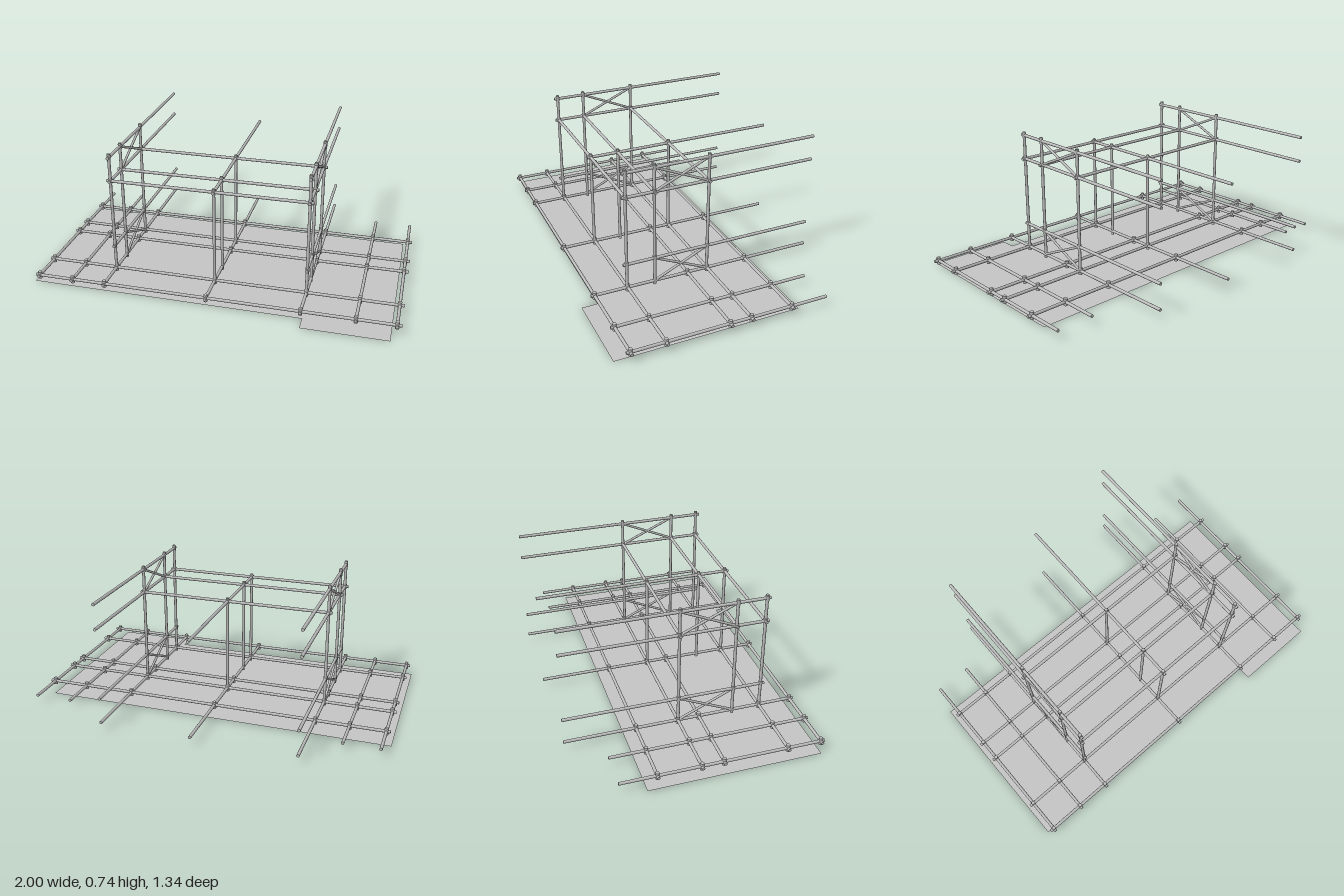
import * as THREE from 'three';

export function createModel() {
  const model = new THREE.Group();
  const steel = new THREE.MeshStandardMaterial({ color: 0xbcbcbc });
  const deckGrey = new THREE.MeshStandardMaterial({ color: 0xc4c4c4, side: THREE.DoubleSide });
  const R = 0.0085;
  const up = new THREE.Vector3(0, 1, 0);

  // Round tube between two points
  function pipe(name, a, b, r = R) {
    const from = new THREE.Vector3(...a);
    const dir = new THREE.Vector3(...b).sub(from);
    const length = dir.length();
    const mesh = new THREE.Mesh(new THREE.CylinderGeometry(r, r, length, 12), steel);
    mesh.name = name;
    mesh.position.copy(from).addScaledVector(dir, 0.5);
    mesh.quaternion.setFromUnitVectors(up, dir.normalize());
    model.add(mesh);
  }
  // Short sleeve where tubes cross
  const coupler = (x, y, z, h = 0.04) =>
    pipe('coupler', [x, y - h / 2, z], [x, y + h / 2, z], 0.0105);

  // Flat ground sheet with a step at the front left
  const outline = [[-1, 0.58], [0.495, 0.58], [0.495, 0.665], [0.95, 0.665], [0.95, -0.345], [-1, -0.345]];
  const sheet = new THREE.Shape(outline.map(([x, z]) => new THREE.Vector2(x, -z)));
  const ground = new THREE.Mesh(new THREE.ShapeGeometry(sheet).rotateX(-Math.PI / 2), deckGrey);
  ground.name = 'groundSheet';
  model.add(ground);

  // Base grid
  const baseY = 0.05;
  const rows = [0.59, 0.407, 0.063, -0.054, -0.284];
  const columns = [
    [-0.963, -0.48], [-0.77, -0.48], [-0.585, -0.67], [-0.016, -0.67],
    [0.487, -0.67], [0.77, -0.49], [0.975, -0.49],
  ];
  for (const z of rows) pipe('baseCrossBar', [-0.985, baseY, z], [1, baseY, z]);
  for (const [x, back] of columns) {
    pipe('baseLongBar', [x, baseY, 0.61], [x, baseY, back]);
    for (const z of rows) coupler(x, baseY, z);
  }

  // Three upright frames; the middle one is lower
  const postZ = [0.41, 0.253, -0.052];
  const frames = [
    { x: -0.585, top: 0.735, rails: [0.19, 0.58, 0.715], braced: true },
    { x: -0.016, top: 0.6, rails: [0.58], braced: false },
    { x: 0.487, top: 0.735, rails: [0.19, 0.58, 0.715], braced: true },
  ];
  for (const { x, top, rails, braced } of frames) {
    for (const z of postZ) {
      pipe('post', [x, 0.03, z], [x, top, z]);
      for (const y of rails) coupler(x, y, z, 0.03);
    }
    for (const y of rails) pipe('rail', [x, y, 0.43], [x, y, -0.67]);

    // Crossed braces between the two rear posts
    if (braced) {
      for (const [low, high] of [[0.05, 0.19], [0.58, 0.715]]) {
        pipe('brace', [x, low, postZ[1]], [x, high, postZ[2]], 0.007);
        pipe('brace', [x, high, postZ[1]], [x, low, postZ[2]], 0.007);
      }
    }
  }

  // Upper bars joining the frames
  for (const z of postZ) pipe('upperCrossBar', [-0.605, 0.58, z], [0.507, 0.58, z]);

  return model;
}
